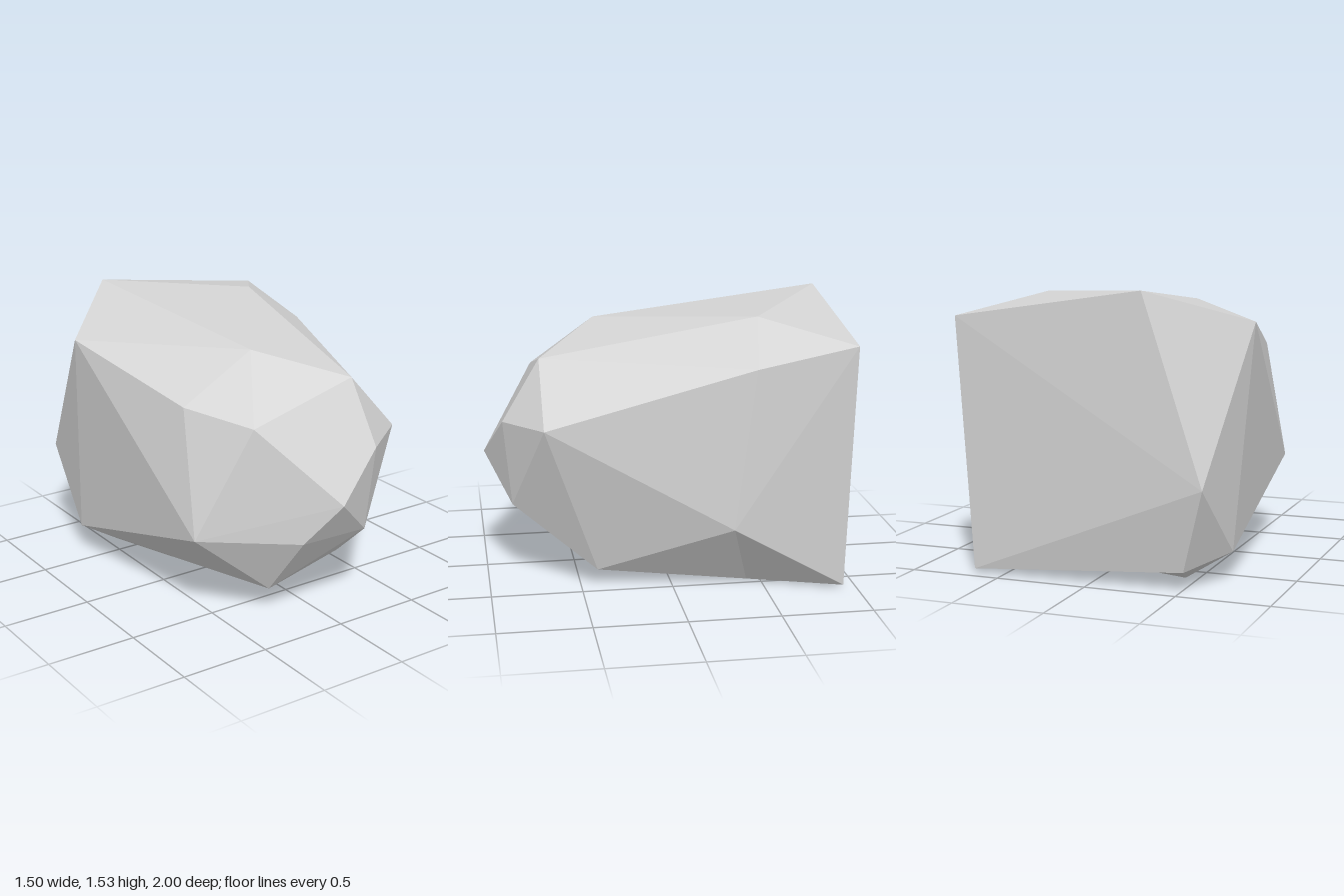
import * as THREE from 'three';
import { ConvexGeometry } from 'three/addons/geometries/ConvexGeometry.js';

// Swaps the edge a-b for the other diagonal of its two triangles, leaving a shallow notch
function flipEdge(geometry, a, b) {
  const position = geometry.attributes.position;
  const corner = new THREE.Vector3();
  const find = (start, target) => [0, 1, 2].map((k) => start + k)
    .find((i) => corner.fromBufferAttribute(position, i).distanceTo(target) < 1e-3);
  const pair = [];
  for (let start = 0; start < position.count; start += 3) {
    const ia = find(start, a), ib = find(start, b);
    if (ia === undefined || ib === undefined) continue;
    const apex = new THREE.Vector3().fromBufferAttribute(position, start * 3 + 3 - ia - ib);
    pair.push({ ia, ib, apex });
  }
  if (pair.length !== 2) return;
  position.setXYZ(pair[0].ia, ...pair[1].apex);
  position.setXYZ(pair[1].ib, ...pair[0].apex);
}

export function createModel() {
  const group = new THREE.Group();
  group.name = 'boulder';

  const stone = new THREE.MeshStandardMaterial({ color: 0xd3d3d3 });
  stone.name = 'stoneGrey';

  // Corners of the faceted rock, grouped by region
  const crown = [
    [-0.30, 1.535, -0.96], [0.42, 1.49, -0.47], [-0.755, 1.355, -0.48],
    [-0.15, 1.405, 0.36], [0.27, 1.265, 0.70], [0.75, 1.38, -0.945],
    [0.735, 1.27, -0.41],
  ];
  const nose = [
    [0.57, 0.935, 0.70], [0.285, 0.925, 0.905], [0, 0.685, 1.0],
    [-0.37, 1.10, 0.705], [-0.575, 1.16, 0.355], [-0.64, 0.48, 0.55],
    [0.26, 0.445, 0.86], [-0.17, 0.465, 0.88],
  ];
  const base = [
    [-0.23, 0.135, 0.655], [0.435, 0.10, 0.41], [0.725, 0.39, -0.30],
    [0.47, 0.01, -0.42], [0.67, 0.02, -0.925], [-0.43, 0, -0.64],
    [-0.685, 0.16, -0.62], [-0.51, 0.10, -0.91],
  ];
  const back = [[-0.64, 0.55, -1.0]];
  const toVectors = (list) => list.map((p) => new THREE.Vector3(...p));

  // Convex body with flat facets
  const geometry = new ConvexGeometry(toVectors([...crown, ...nose, ...base, ...back]));

  // Chipped hollows low on the left side and under the back
  const [, frontFoot, , , backFoot, lowest] = toVectors(base);
  flipEdge(geometry, frontFoot, backFoot);
  flipEdge(geometry, backFoot, lowest);
  geometry.computeVertexNormals();

  const rock = new THREE.Mesh(geometry, stone);
  rock.name = 'rock';
  group.add(rock);

  return group;
}
